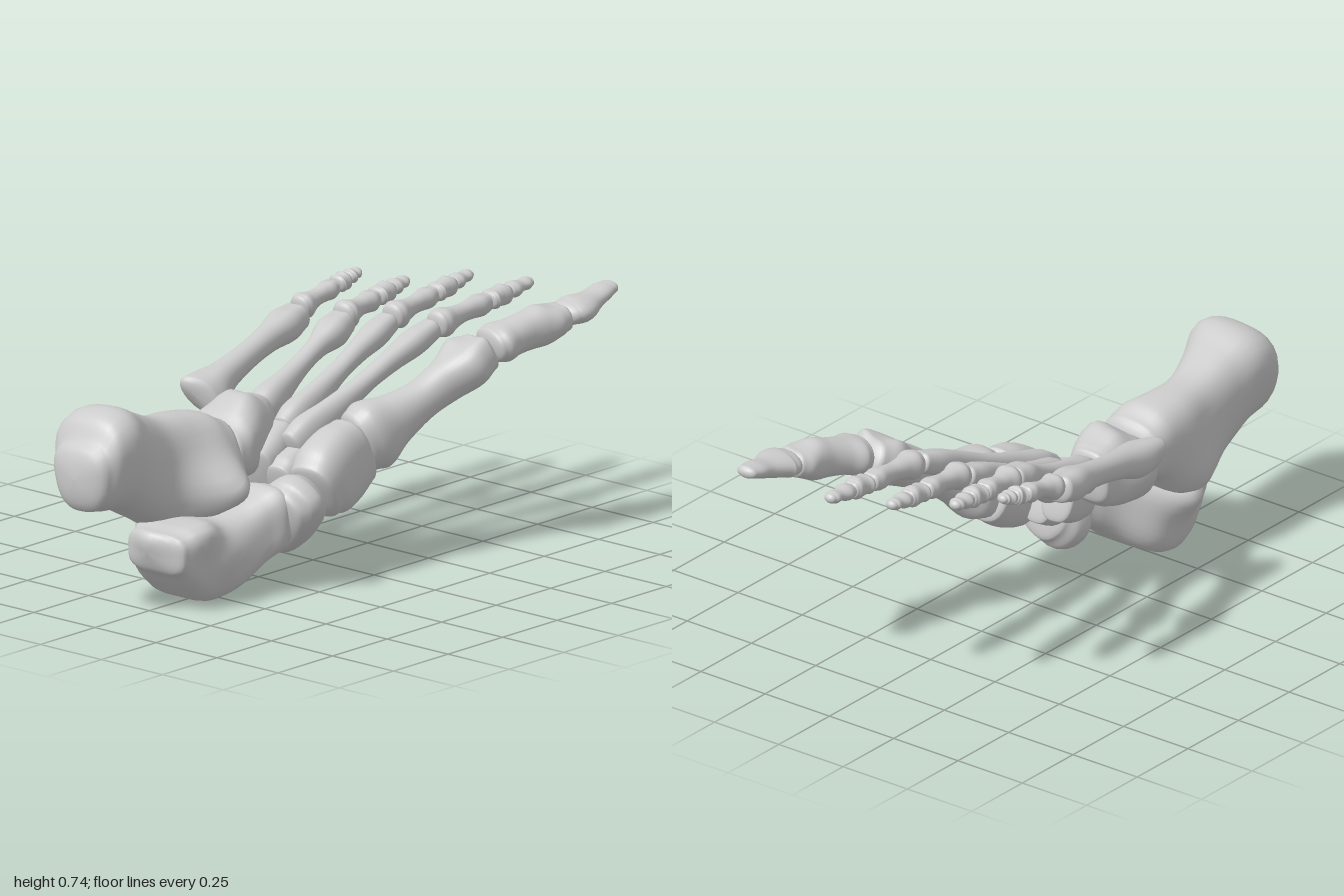
import * as THREE from 'three';

const material = new THREE.MeshStandardMaterial({ color: 0xcccccc, roughness: 0.75 });
const UP = new THREE.Vector3(0, 1, 0);

// Smooth closed solid lofted through sections [x, y, z, halfWidth, halfHeight, grooveOnSole, taper].
// square: 2 = ellipse, higher = boxier; cap: end dome depth; roll: twist about the axis;
// straight: every ring faces along z; bumps: soft pulls [x, y, z, dx, dy, dz, radius].
function loft(sections, { square = 2.3, cap = 0.4, roll = 0, straight = false, bumps = [] } = {}) {
  const steps = 6, sides = 32, dome = 6;
  const path = new THREE.CatmullRomCurve3(sections.map(s => new THREE.Vector3(s[0], s[1], s[2])));
  const last = sections.length - 1;
  const value = (k, u) => {
    const f = u * last, i = Math.min(Math.floor(f), last - 1), t = f - i;
    const at = n => sections[Math.max(0, Math.min(last, n))][k] ?? 0;
    const m0 = (at(i + 1) - at(i - 1)) / 2, m1 = (at(i + 2) - at(i)) / 2;
    return (2 * t ** 3 - 3 * t * t + 1) * at(i) + (t ** 3 - 2 * t * t + t) * m0
      + (3 * t * t - 2 * t ** 3) * at(i + 1) + (t ** 3 - t * t) * m1;
  };
  // Rings: [u, scale, offset along axis], with a dome at each end
  const rings = [];
  const domeRing = (i, u, sign) => {
    const a = (i / dome) * Math.PI / 2;
    rings.push([u, Math.max(Math.sin(a), 0.001), sign * Math.cos(a)]);
  };
  for (let i = 0; i < dome; i++) domeRing(i, 0, -1);
  for (let i = 0; i <= last * steps; i++) rings.push([i / (last * steps), 1, 0]);
  for (let i = dome - 1; i >= 0; i--) domeRing(i, 1, 1);

  const pos = [], index = [];
  rings.forEach(([u, scale, off], i) => {
    const t = straight ? new THREE.Vector3(0, 0, -1) : path.getTangent(u);
    const side = new THREE.Vector3().crossVectors(UP, t).normalize().applyAxisAngle(t, roll);
    const n = new THREE.Vector3().crossVectors(t, side);
    const rx = value(3, u), ry = value(4, u), groove = value(5, u), taper = value(6, u);
    const c = path.getPoint(u).addScaledVector(t, off * cap * Math.min(rx, ry));
    for (let j = 0; j < sides; j++) {
      const a = (j / sides) * Math.PI * 2, ca = Math.cos(a), sa = Math.sin(a);
      const k = (Math.abs(ca) ** square + Math.abs(sa) ** square) ** (-1 / square) * scale;
      const dip = 1 - groove * Math.exp(-(((a - Math.PI / 2) / 0.5) ** 2));
      const p = c.clone().addScaledVector(side, ca * k * rx * (1 + taper * sa))
        .addScaledVector(n, sa * k * ry * dip);
      const pull = new THREE.Vector3();
      for (const [x, y, z, dx, dy, dz, r] of bumps) {
        const d2 = (p.x - x) ** 2 + (p.y - y) ** 2 + (p.z - z) ** 2;
        pull.addScaledVector(new THREE.Vector3(dx, dy, dz), Math.exp(-d2 / (r * r)));
      }
      p.add(pull);
      pos.push(p.x, p.y, p.z);
      if (i < rings.length - 1) {
        const a0 = i * sides + j, b0 = i * sides + (j + 1) % sides;
        index.push(a0, b0, a0 + sides, b0, b0 + sides, a0 + sides);
      }
    }
  });
  const g = new THREE.BufferGeometry();
  g.setAttribute('position', new THREE.Float32BufferAttribute(pos, 3));
  g.setIndex(index);
  g.computeVertexNormals();
  return g;
}

// Long bone: flared base, narrow shaft, two-lobed head. bow lifts the middle.
function longBone(a, b, base, shaft, head, { bow = 0, baseTall = 1, headTall = 0.95, bumps = [] } = {}) {
  const at = (t, rx, ry, g = 0) => [
    ...a.map((v, i) => v + (b[i] - v) * t + (i === 1 ? bow * Math.sin(Math.PI * t) : 0)), rx, ry, g];
  return loft([
    at(0, base * 0.9, base * 0.88 * baseTall), at(0.1, base, base * baseTall, 0.08),
    at(0.27, (base + shaft) * 0.47, (base * baseTall + shaft) * 0.47),
    at(0.5, shaft, shaft), at(0.7, shaft * 1.08, shaft * 1.08),
    at(0.87, head, head * headTall, 0.12), at(1, head * 0.86, head * headTall * 0.86, 0.16),
  ], { cap: 0.4, square: 2.2, bumps });
}

export function createModel() {
  const foot = new THREE.Group();
  foot.name = 'footBones';
  const add = (name, geometry) => {
    const mesh = new THREE.Mesh(geometry, material);
    mesh.name = name;
    foot.add(mesh);
  };

  // Heel bone, with an inner shelf and a low outer edge
  add('heelBone', loft([
    [-0.085, 0.455, 0.96, 0.108, 0.108, 0, 0.15], [-0.09, 0.485, 0.92, 0.132, 0.145, 0, 0.18],
    [-0.092, 0.492, 0.84, 0.14, 0.163, 0, 0.16], [-0.102, 0.448, 0.74, 0.118, 0.168, 0, 0.05],
    [-0.112, 0.405, 0.62, 0.105, 0.165, 0, -0.05], [-0.115, 0.4, 0.51, 0.11, 0.16],
    [-0.105, 0.425, 0.42, 0.113, 0.122], [-0.1, 0.42, 0.365, 0.108, 0.098],
  ], {
    square: 2.7, straight: true, cap: 0.38, roll: -0.08,
    bumps: [[0.01, 0.32, 0.46, 0.14, 0, -0.02, 0.1], [-0.2, 0.28, 0.58, -0.03, -0.01, 0, 0.09],
      [-0.1, 0.24, 0.56, 0, -0.03, 0, 0.1]],
  }));

  // Ankle bone: pulley body, neck and round head, flared outer and rear processes
  add('ankleBone', loft([
    [0, 0.18, 0.715, 0.115, 0.065], [-0.005, 0.163, 0.67, 0.127, 0.097],
    [-0.014, 0.138, 0.6, 0.137, 0.128], [-0.014, 0.128, 0.52, 0.138, 0.13],
    [0.01, 0.152, 0.45, 0.137, 0.122], [0.06, 0.195, 0.385, 0.108, 0.108],
    [0.09, 0.225, 0.335, 0.1, 0.105], [0.1, 0.235, 0.3, 0.085, 0.09],
  ], {
    square: 3.6, straight: true, cap: 0.4,
    bumps: [[-0.14, 0.22, 0.55, -0.075, 0.005, 0, 0.075], [0, 0.225, 0.73, -0.01, 0.01, 0.03, 0.06],
      [0.13, 0.14, 0.54, 0.025, 0, 0, 0.06], [0.1, 0.25, 0.62, 0.035, 0.015, 0, 0.07],
      [-0.02, 0, 0.53, 0, 0.012, 0, 0.06]],
  }));

  // Boat-shaped bone in front of the ankle
  add('navicular', loft([
    [0.108, 0.205, 0.295, 0.125, 0.088], [0.108, 0.215, 0.265, 0.152, 0.1],
    [0.11, 0.23, 0.22, 0.15, 0.1], [0.112, 0.24, 0.185, 0.12, 0.09],
  ], { roll: -0.75, square: 2.4, cap: 0.25, bumps: [[0.22, 0.3, 0.26, 0.02, -0.005, 0, 0.06]] }));

  // Cuboid on the outer side, with a ridge across the sole
  add('cuboid', loft([
    [-0.11, 0.4, 0.33, 0.115, 0.085], [-0.115, 0.41, 0.28, 0.128, 0.105],
    [-0.125, 0.42, 0.2, 0.112, 0.11], [-0.135, 0.43, 0.13, 0.088, 0.1],
    [-0.145, 0.44, 0.1, 0.075, 0.085],
  ], {
    square: 2.9, straight: true, cap: 0.25,
    bumps: [[-0.08, 0.52, 0.22, 0, 0.035, 0, 0.055], [-0.17, 0.53, 0.2, 0, 0.025, 0, 0.05],
      [-0.24, 0.42, 0.25, -0.02, 0, 0, 0.06]],
  }));

  // Three wedge bones
  add('innerWedge', loft([
    [0.155, 0.285, 0.165, 0.08, 0.1], [0.15, 0.31, 0.12, 0.09, 0.125],
    [0.145, 0.345, 0.04, 0.085, 0.13], [0.142, 0.372, -0.025, 0.078, 0.115],
  ], { square: 2.6, cap: 0.25 }));
  add('middleWedge', loft([
    [0.05, 0.28, 0.2, 0.055, 0.085], [0.047, 0.295, 0.16, 0.06, 0.095], [0.043, 0.32, 0.1, 0.052, 0.09],
  ], { square: 2.8, cap: 0.25 }));
  add('outerWedge', loft([
    [-0.02, 0.315, 0.22, 0.055, 0.09], [-0.035, 0.34, 0.15, 0.062, 0.1], [-0.05, 0.37, 0.07, 0.055, 0.095],
  ], { square: 2.8, cap: 0.25 }));

  // Long midfoot bones: base, head, base radius, shaft radius, head radius, shape options
  [
    [[0.143, 0.395, -0.06], [0.262, 0.612, -0.475], 0.09, 0.062, 0.094,
      { bow: -0.01, baseTall: 1.3, headTall: 0.78,
        bumps: [[0.19, 0.66, -0.4, -0.012, 0.02, 0, 0.045], [0.3, 0.67, -0.42, 0.01, 0.018, 0, 0.045],
          [0.08, 0.33, -0.1, -0.02, -0.01, -0.01, 0.06]] }],
    [[0.03, 0.385, 0.12], [0.06, 0.648, -0.475], 0.047, 0.032, 0.044, { bow: 0.015, baseTall: 1.6 }],
    [[-0.055, 0.41, 0.06], [-0.1, 0.642, -0.455], 0.047, 0.032, 0.044, { bow: 0.015, baseTall: 1.55 }],
    [[-0.155, 0.455, 0.07], [-0.217, 0.637, -0.375], 0.05, 0.032, 0.053, { bow: 0.01, baseTall: 1.3 }],
    [[-0.285, 0.515, 0.185], [-0.37, 0.635, -0.335], 0.058, 0.04, 0.057,
      { bow: 0.005, bumps: [[-0.31, 0.54, 0.2, -0.015, 0.015, 0.03, 0.05],
        [-0.24, 0.48, 0.16, 0.03, -0.04, 0, 0.05]] }],
  ].forEach((m, i) => add('metatarsal' + (i + 1), longBone(...m)));

  // Big toe
  add('bigToeNear', longBone([0.272, 0.628, -0.515], [0.332, 0.677, -0.762], 0.085, 0.06, 0.072,
    { baseTall: 0.72, headTall: 0.75 }));
  add('bigToeTip', loft([
    [0.336, 0.685, -0.79, 0.07, 0.037], [0.342, 0.69, -0.82, 0.076, 0.04],
    [0.339, 0.702, -0.89, 0.049, 0.03], [0.336, 0.718, -0.945, 0.044, 0.025],
    [0.335, 0.725, -0.98, 0.036, 0.02],
  ], { cap: 0.9, square: 2.1 }));

  // Small toes: x and y at the start and tip, z of the three joints and tip, size
  [
    [0.06, 0.655, 0.055, 0.7, [-0.5, -0.735, -0.83, -0.94], 0.047],
    [-0.1, 0.655, -0.128, 0.705, [-0.475, -0.68, -0.775, -0.868], 0.045],
    [-0.23, 0.65, -0.262, 0.69, [-0.395, -0.56, -0.64, -0.725], 0.046],
    [-0.377, 0.655, -0.378, 0.715, [-0.36, -0.525, -0.58, -0.64], 0.042],
  ].forEach(([x0, y0, x1, y1, z, r], i) => {
    const at = (zz) => {
      const t = (zz - z[0]) / (z[3] - z[0]);
      return [x0 + (x1 - x0) * t, y0 + (y1 - y0) * t, zz];
    };
    const toe = 'toe' + (i + 2);
    add(toe + 'Near', longBone(at(z[0] - 0.005), at(z[1] + 0.012), r, r * 0.62, r * 0.8));
    add(toe + 'Middle', longBone(at(z[1] - 0.01), at(z[2] + 0.01), r * 0.84, r * 0.68, r * 0.76,
      { baseTall: 0.8 }));
    const tip = (t, rx, ry) => [...at(z[2] - 0.008 + (z[3] - z[2] + 0.024) * t), r * rx, r * ry];
    add(toe + 'Tip', loft([
      tip(0, 0.66, 0.5), tip(0.2, 0.72, 0.55), tip(0.55, 0.5, 0.4), tip(0.85, 0.58, 0.42), tip(1, 0.45, 0.34),
    ], { cap: 0.9, square: 2 }));
  });

  return foot;
}
